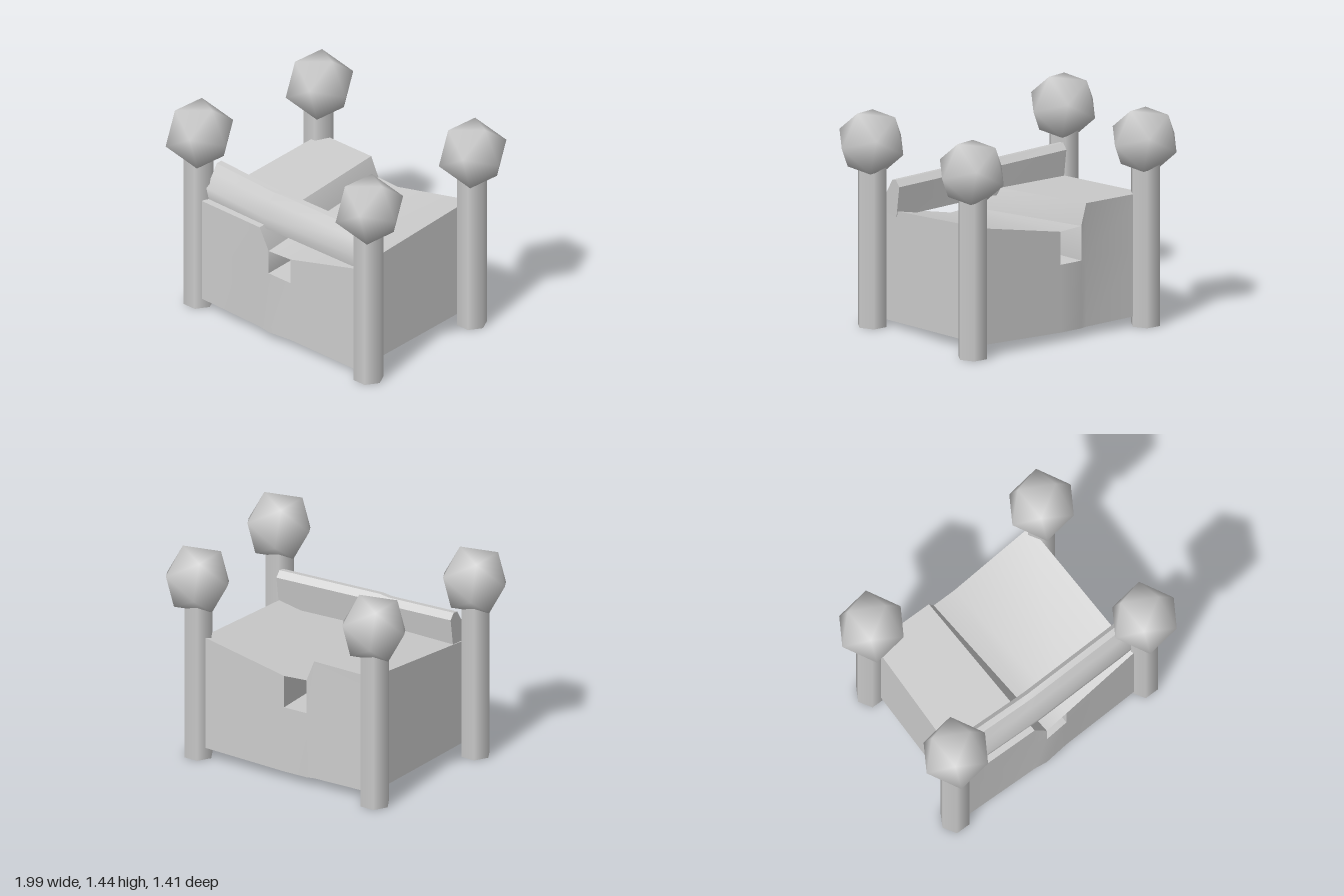
import * as THREE from 'three';
import { toCreasedNormals } from 'three/addons/utils/BufferGeometryUtils.js';

const grey = new THREE.MeshStandardMaterial({ color: 0xcccccc, side: THREE.DoubleSide });

// Collects quads (corners counter-clockwise from outside) into one mesh.
function quadMesh(name, quads, crease) {
  const pos = [];
  for (const [a, b, c, d] of quads) pos.push(...a, ...b, ...c, ...a, ...c, ...d);
  const geo = new THREE.BufferGeometry();
  geo.setAttribute('position', new THREE.Float32BufferAttribute(pos, 3));
  const mesh = new THREE.Mesh(toCreasedNormals(geo, crease), grey);
  mesh.name = name;
  return mesh;
}

// Block with a square tunnel from front to back and a dented top.
function createBody() {
  // Columns across the width: x, z, bottom, tunnel floor, top
  const column = ([x, z, ...ys]) => ys.map((y) => [x, y, z]);
  const front = [
    [-0.69, 0.555, 0.07, 0.48, 0.775],
    [-0.17, 0.56, 0.06, 0.48, 0.775],
    [-0.08, 0.57, 0.055, 0.48, 0.64],
    [0.095, 0.55, 0.055, 0.465, 0.635],
    [0.66, 0.52, 0.03, 0.465, 0.76],
  ].map(column);
  const back = [
    [-0.66, -0.505, 0.07, 0.51, 0.88],
    [-0.21, -0.505, 0.06, 0.51, 0.88],
    [-0.16, -0.52, 0.06, 0.51, 0.74],
    [0.01, -0.525, 0.06, 0.51, 0.73],
    [0.63, -0.54, 0.08, 0.51, 0.855],
  ].map(column);

  const hole = 2;
  const quads = [];
  for (let i = 0; i < 4; i++) {
    const f = front[i], g = front[i + 1], b = back[i], c = back[i + 1];
    for (let k = 0; k < 2; k++) {
      if (i === hole && k === 1) continue;
      quads.push([f[k], g[k], g[k + 1], f[k + 1]]);
      quads.push([c[k], b[k], b[k + 1], c[k + 1]]);
    }
    quads.push([f[2], g[2], c[2], b[2]]);
    quads.push([b[0], c[0], g[0], f[0]]);
  }
  // Outer sides
  quads.push([back[0][0], front[0][0], front[0][2], back[0][2]]);
  quads.push([front[4][0], back[4][0], back[4][2], front[4][2]]);
  // Tunnel floor and walls
  const [fl, fr, bl, br] = [front[2], front[3], back[2], back[3]];
  quads.push([fl[1], fr[1], br[1], bl[1]]);
  quads.push([fl[1], bl[1], bl[2], fl[2]]);
  quads.push([br[1], fr[1], fr[2], br[2]]);
  return quadMesh('body', quads, 0.6);
}

// Slightly kinked bevelled rail between the front posts.
function createRail() {
  // Cross-section as z, y
  const section = [
    [0.50, 0.765], [0.515, 0.85], [0.455, 0.94], [0.42, 0.995],
    [0.38, 1.0], [0.345, 0.96], [0.375, 0.755],
  ];
  // Stations as x, z shift, y shift
  const stations = [[-0.68, 0.01, 0.01], [-0.17, 0.015, -0.012], [-0.1, 0.018, -0.005], [0.66, -0.01, -0.02]];
  const rings = stations.map(([x, dz, dy]) => section.map(([z, y]) => [x, y + dy, z + dz]));
  const n = section.length;
  const quads = [];
  for (let s = 0; s < rings.length - 1; s++) {
    for (let i = 0; i < n; i++) {
      const j = (i + 1) % n;
      quads.push([rings[s][i], rings[s + 1][i], rings[s + 1][j], rings[s][j]]);
    }
  }
  // End caps
  const first = rings[0], last = rings[rings.length - 1];
  for (let i = 1; i < n - 1; i += 2) {
    const j = Math.min(i + 2, n - 1);
    quads.push([first[0], first[i], first[i + 1], first[j]]);
    quads.push([last[0], last[j], last[i + 1], last[i]]);
  }
  return quadMesh('frontRail', quads, 0.8);
}

// Smooth icosahedron with its poles along x.
function createKnobGeometry() {
  const R = 0.235, ring = R * 0.8944, pole = R * 0.4472;
  const pts = [R, 0, 0];
  for (const side of [1, -1]) {
    for (let i = 0; i < 5; i++) {
      const a = (i * Math.PI * 2) / 5 + (side < 0 ? Math.PI / 5 : 0);
      pts.push(side * pole, Math.cos(a) * ring, Math.sin(a) * ring);
    }
  }
  pts.push(-R, 0, 0);
  const index = [];
  for (let i = 0; i < 5; i++) {
    const a = 1 + i, b = 1 + ((i + 1) % 5), c = 6 + i, d = 6 + ((i + 1) % 5);
    index.push(0, a, b, a, c, b, b, c, d, 11, d, c);
  }
  const geo = new THREE.BufferGeometry();
  geo.setAttribute('position', new THREE.Float32BufferAttribute(pts, 3));
  geo.setIndex(index);
  geo.computeVertexNormals();
  return geo;
}

export function createModel() {
  const model = new THREE.Group();
  model.add(createBody(), createRail());

  // Hexagonal corner posts topped with knobs
  const postGeo = new THREE.CylinderGeometry(0.1, 0.1, 1.12, 6);
  postGeo.rotateY(Math.PI / 6);
  const knobGeo = createKnobGeometry();
  const corners = [
    ['frontRightPost', -0.77, 0.505, 1.22],
    ['frontLeftPost', 0.75, 0.505, 1.22],
    ['backRightPost', -0.68, -0.505, 1.23],
    ['backLeftPost', 0.69, -0.505, 1.23],
  ];
  for (const [name, x, z, knobY] of corners) {
    const group = new THREE.Group();
    group.name = name;
    group.position.set(x, 0, z);
    const post = new THREE.Mesh(postGeo, grey);
    post.name = 'post';
    post.position.y = 0.56;
    const knob = new THREE.Mesh(knobGeo, grey);
    knob.name = 'knob';
    knob.position.set(0.007, knobY, 0);
    knob.rotation.z = -0.04;
    group.add(post, knob);
    model.add(group);
  }
  return model;
}
